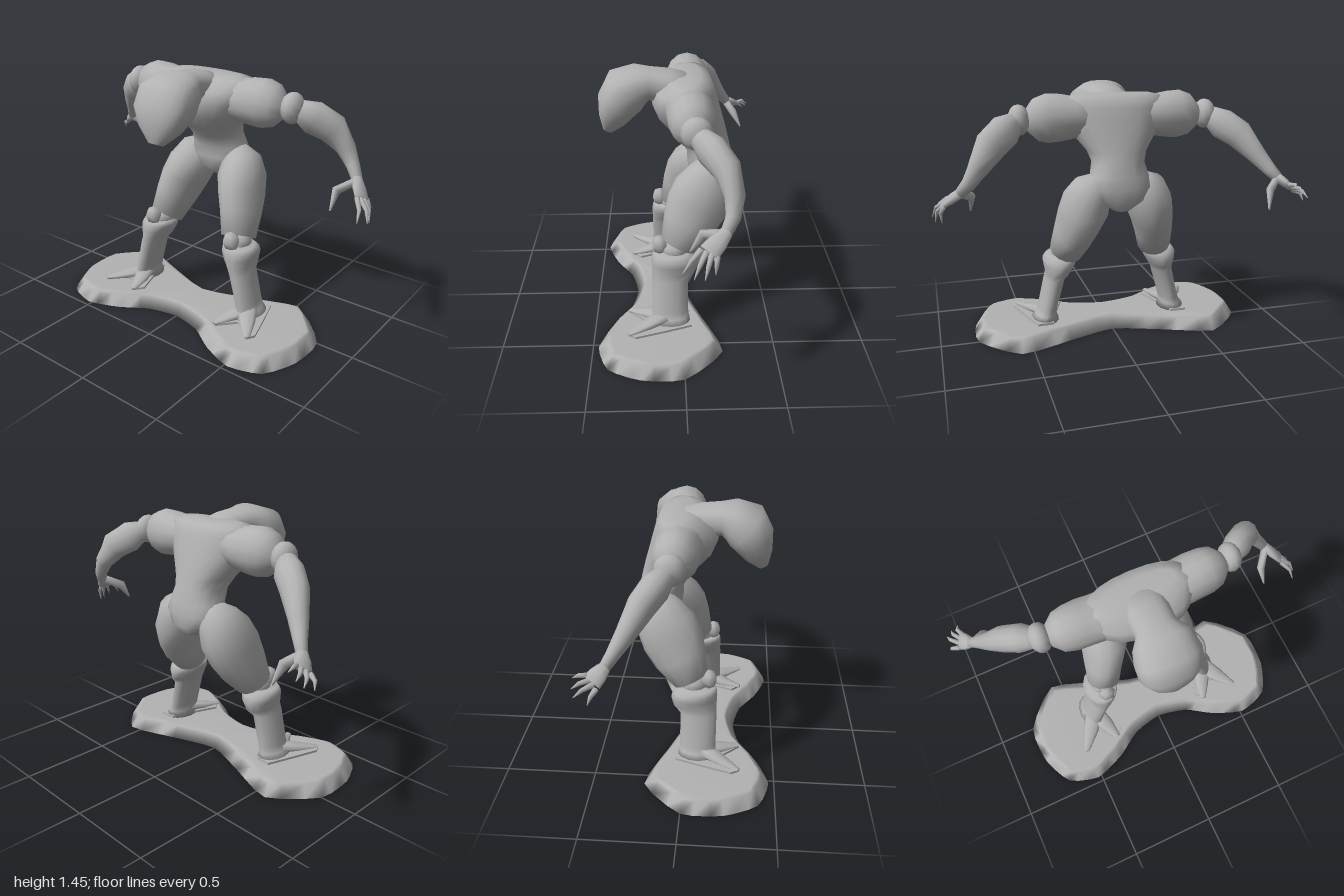
import * as THREE from 'three';

const V = (x, y, z) => new THREE.Vector3(x, y, z);

export function createModel() {
  const model = new THREE.Group();
  const grey = new THREE.MeshStandardMaterial({ color: 0xb2b2b2, side: THREE.DoubleSide });
  grey.name = 'clay grey';

  function add(name, geometry, parent = model) {
    const mesh = new THREE.Mesh(geometry, grey);
    mesh.name = name;
    parent.add(mesh);
    return mesh;
  }

  function indexed(pos, index) {
    const g = new THREE.BufferGeometry();
    g.setAttribute('position', new THREE.Float32BufferAttribute(pos, 3));
    g.setIndex(index);
    g.computeVertexNormals();
    return g;
  }

  // Skin of rounded rings; row = [x, y, z, radius along ref, other radius]; power below 1 squares the rings
  function loft(rows, ref, { axis = null, sides = 14, power = 1 } = {}) {
    const pos = [], index = [];
    const centres = rows.map(r => V(r[0], r[1], r[2]));
    const last = rows.length - 1;
    const bend = c => Math.sign(c) * Math.abs(c) ** power;
    rows.forEach((r, i) => {
      const t = axis ? axis.clone()
        : centres[Math.min(i + 1, last)].clone().sub(centres[Math.max(i - 1, 0)]).normalize();
      const u = ref.clone().addScaledVector(t, -ref.dot(t)).normalize();
      const v = t.clone().cross(u);
      for (let j = 0; j < sides; j++) {
        const a = (j / sides) * Math.PI * 2;
        const p = centres[i].clone().addScaledVector(u, r[3] * bend(Math.cos(a))).addScaledVector(v, r[4] * bend(Math.sin(a)));
        pos.push(...p.toArray());
      }
    });
    const c0 = rows.length * sides;
    pos.push(...centres[0].toArray(), ...centres[last].toArray());
    for (let j = 0; j < sides; j++) {
      const k = (j + 1) % sides;
      for (let i = 0; i < last; i++) {
        const a = i * sides + j, b = i * sides + k;
        index.push(a, b, b + sides, a, b + sides, a + sides);
      }
      index.push(c0, k, j, c0 + 1, last * sides + j, last * sides + k);
    }
    return indexed(pos, index);
  }

  const ball = (name, parent, p, s, w = 12, h = 8) => {
    const m = add(name, new THREE.SphereGeometry(1, w, h), parent);
    m.position.set(...p);
    m.scale.set(...s);
  };

  const X = V(1, 0, 0), UP = V(0, 1, 0), DOWN = V(0, -1, 0);

  // Torso with broad hips, and hooded head on a level neck
  add('torso', loft([
    [0, 0.785, -0.18, 0.05, 0.07], [0, 0.84, -0.165, 0.14, 0.12], [0, 0.91, -0.16, 0.19, 0.125],
    [0, 0.97, -0.155, 0.162, 0.122], [0, 1.04, -0.125, 0.143, 0.135], [0, 1.1, -0.09, 0.165, 0.155],
    [0, 1.17, -0.05, 0.22, 0.175], [0, 1.26, -0.02, 0.27, 0.18], [0, 1.33, -0.02, 0.28, 0.16],
    [0, 1.385, -0.045, 0.27, 0.11], [0, 1.4, -0.045, 0.2, 0.06],
  ], X, { axis: UP, sides: 20, power: 0.88 }));
  add('head', loft([
    [0, 1.315, -0.04, 0.13, 0.08], [0, 1.34, 0.07, 0.115, 0.085], [0, 1.35, 0.17, 0.112, 0.085],
    [0, 1.345, 0.225, 0.155, 0.105], [0, 1.31, 0.3, 0.174, 0.13], [0, 1.245, 0.34, 0.172, 0.115],
    [0, 1.165, 0.37, 0.125, 0.08], [0, 1.09, 0.4, 0.045, 0.03],
  ], X, { sides: 20, power: 0.85 }));

  // Each arm has its own pose; shoulders mirror
  const arms = [
    {
      name: 'left', s: 1,
      path: [[0.55, 1.265, -0.075, 0.055, 0.055], [0.61, 1.225, -0.125, 0.09, 0.075], [0.69, 1.165, -0.19, 0.085, 0.07],
        [0.76, 1.06, -0.225, 0.055, 0.05], [0.81, 0.98, -0.215, 0.038, 0.036], [0.85, 0.93, -0.185, 0.03, 0.03]],
      palm: [0.925, 0.865, -0.1], across: V(0.25, -0.3, -0.9),
      tips: [[0.965, 0.78, 0.02], [0.998, 0.77, -0.03], [0.985, 0.755, -0.08], [0.95, 0.76, -0.13]],
      thumb: [[0.85, 0.92, -0.16], [0.79, 0.88, -0.08], [0.795, 0.79, -0.02]],
    },
    {
      name: 'right', s: -1,
      path: [[-0.55, 1.265, -0.075, 0.055, 0.055], [-0.61, 1.22, -0.12, 0.085, 0.075], [-0.69, 1.165, -0.175, 0.08, 0.07],
        [-0.77, 1.06, -0.24, 0.053, 0.05], [-0.83, 0.98, -0.295, 0.037, 0.034], [-0.865, 0.94, -0.325, 0.03, 0.028]],
      palm: [-0.92, 0.89, -0.38], across: V(0.55, 0.5, -0.55),
      tips: [[-0.995, 0.815, -0.39], [-0.985, 0.845, -0.455], [-0.95, 0.87, -0.468], [-0.905, 0.9, -0.468]],
      thumb: [[-0.86, 0.93, -0.325], [-0.8, 0.88, -0.37], [-0.775, 0.785, -0.42]],
    },
  ];
  for (const { name, s, path, palm, across, tips, thumb } of arms) {
    const arm = new THREE.Group();
    arm.name = name + 'Arm';
    model.add(arm);
    add('shoulder', loft([
      [0.1 * s, 1.285, -0.03, 0.1, 0.13], [0.24 * s, 1.275, -0.04, 0.118, 0.125], [0.3 * s, 1.275, -0.045, 0.128, 0.125],
      [0.37 * s, 1.275, -0.045, 0.133, 0.12], [0.43 * s, 1.27, -0.05, 0.115, 0.105], [0.48 * s, 1.265, -0.055, 0.06, 0.06],
    ], UP), arm);
    ball('shoulderJoint', arm, [0.525 * s, 1.273, -0.06], [0.06, 0.083, 0.08]);
    add('armLength', loft(path, V(0, 1, 0.3), { sides: 12 }), arm);
    const wrist = path[path.length - 1];
    const mid = wrist.slice(0, 3).map((c, i) => (c + palm[i]) / 2);
    across.normalize();
    add('palm', loft([[...wrist.slice(0, 3), 0.03, 0.026], [...mid, 0.045, 0.024], [...palm, 0.05, 0.016]],
      across, { sides: 10 }), arm);
    tips.forEach((tip, i) => {
      const base = V(...palm).addScaledVector(across, (i - 1.5) * 0.026);
      const knuckle = base.clone().lerp(V(...tip), 0.55).add(V(0.012 * s, 0.014, 0));
      add('finger', loft([[...base.toArray(), 0.015, 0.014], [...knuckle.toArray(), 0.011, 0.011], [...tip, 0.002, 0.002]],
        across, { sides: 6 }), arm);
    });
    add('thumb', loft(thumb.map((p, i) => [...p, [0.025, 0.028, 0.005][i], [0.02, 0.022, 0.005][i]]), across, { sides: 7 }), arm);
  }

  // Legs, mirrored about the middle
  for (const s of [1, -1]) {
    const leg = new THREE.Group();
    leg.name = s > 0 ? 'leftLeg' : 'rightLeg';
    model.add(leg);
    const side = rows => rows.map(([x, ...rest]) => [x * s, ...rest]);
    add('thigh', loft(side([
      [0.105, 0.93, -0.165, 0.07, 0.08], [0.15, 0.885, -0.15, 0.115, 0.125], [0.18, 0.81, -0.12, 0.132, 0.165],
      [0.21, 0.72, -0.08, 0.12, 0.172], [0.237, 0.62, -0.035, 0.107, 0.15], [0.265, 0.505, 0.025, 0.097, 0.103],
    ]), X), leg);
    ball('kneeCore', leg, [0.28 * s, 0.49, 0.04], [0.07, 0.06, 0.075]);
    ball('kneeCap', leg, [0.285 * s, 0.52, 0.125], [0.052, 0.055, 0.047], 6, 4);
    add('shin', loft(side([
      [0.295, 0.48, 0.06, 0.085, 0.1], [0.3, 0.455, 0.05, 0.1, 0.12], [0.305, 0.42, 0.045, 0.09, 0.13],
      [0.315, 0.37, 0.05, 0.07, 0.122], [0.33, 0.33, 0.07, 0.06, 0.103], [0.375, 0.15, 0.07, 0.055, 0.102],
      [0.385, 0.115, 0.07, 0.06, 0.105], [0.395, 0.077, 0.065, 0.085, 0.11],
    ]), X, { axis: DOWN }), leg);
    // Two-toed foot on a thin sole
    const sole = new THREE.Shape([[0.36, -0.045], [0.45, -0.05], [0.5, 0.1], [0.55, 0.26], [0.525, 0.305],
      [0.45, 0.22], [0.4, 0.21], [0.315, 0.305], [0.265, 0.25], [0.32, 0.1]].map(([x, z]) => new THREE.Vector2(x * s, -z)));
    const plate = new THREE.ExtrudeGeometry(sole, { depth: 0.013, bevelEnabled: false });
    plate.rotateX(-Math.PI / 2);
    add('sole', plate, leg).position.y = 0.078;
    for (const [tx, mx] of [[0.525, 0.455], [0.305, 0.34]]) {
      add('toe', loft(side([[0.385, 0.115, 0.1, 0.06, 0.035], [mx, 0.1, 0.2, 0.045, 0.02], [tx, 0.09, 0.3, 0.016, 0.008]]),
        X, { sides: 8 }), leg);
    }
  }

  // Hourglass base: one smooth closed shell with a sloped rim
  const half = [[0.18, 0.305], [0.33, 0.4], [0.52, 0.47], [0.7, 0.41], [0.787, 0.23], [0.787, 0], [0.57, -0.213], [0.27, -0.115]];
  const outline = [[0, 0.265], ...half, [0, -0.03], ...half.slice().reverse().map(([x, z]) => [-x, z])];
  const curve = new THREE.CatmullRomCurve3(outline.map(([x, z]) => V(x, 0, z)), true, 'catmullrom', 0.3);
  const n = 54, pos = [], index = [], flat = [];
  for (let i = 0; i < n; i++) {
    const p = curve.getPoint(i / n), t = curve.getTangent(i / n);
    const inward = V(t.z, 0, -t.x);
    const shoulder = p.clone().addScaledVector(inward, 0.043).setY(0.066);
    const top = p.clone().addScaledVector(inward, 0.058).setY(0.075);
    pos.push(...p.toArray(), ...shoulder.toArray(), ...top.toArray());
    flat.push(new THREE.Vector2(top.x, -top.z));
    const a = i * 3, b = ((i + 1) % n) * 3;
    for (let k = 0; k < 2; k++) index.push(a + k, b + k, b + k + 1, a + k, b + k + 1, a + k + 1);
  }
  for (const [a, b, c] of THREE.ShapeUtils.triangulateShape(flat, [])) {
    index.push(a * 3 + 2, b * 3 + 2, c * 3 + 2, a * 3, c * 3, b * 3);
  }
  add('base', indexed(pos, index));

  return model;
}
